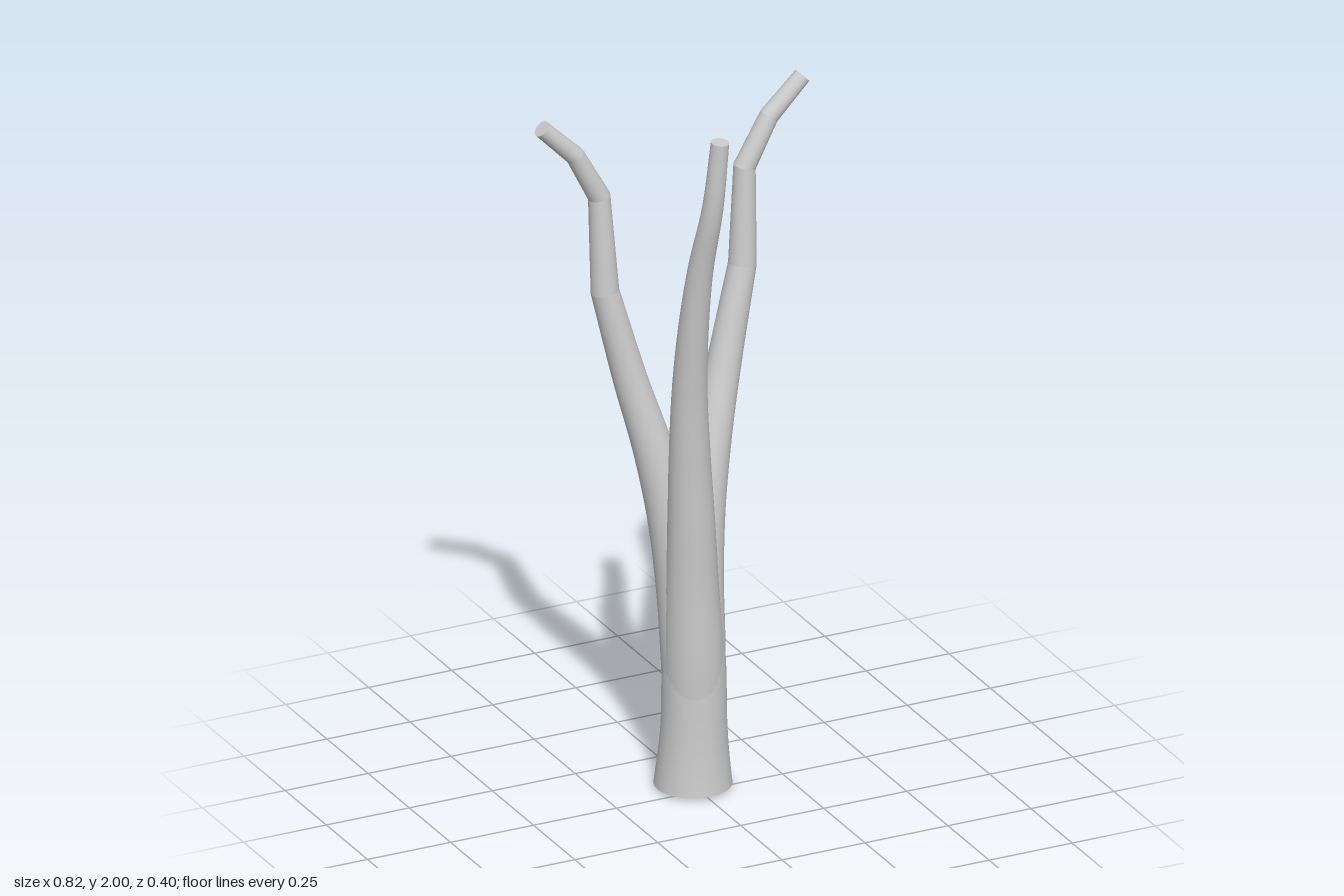
import * as THREE from 'three';

const SIDES = 32;
const material = new THREE.MeshStandardMaterial({ color: 0xcccccc });

// Each section is [x, y, z, radius]. Sections in `curved` are splined, those in `kinked` are straight lengths.
function limb(name, curved, kinked = [], steps = 5) {
  const path = new THREE.CatmullRomCurve3(curved.map(([x, y, z]) => new THREE.Vector3(x, y, z)), false, 'catmullrom');
  const radii = new THREE.CatmullRomCurve3(curved.map((s) => new THREE.Vector3(s[3], 0, 0)), false, 'catmullrom');
  const count = (curved.length - 1) * steps;
  const rings = [];
  for (let i = 0; i <= count; i++) rings.push({ p: path.getPoint(i / count), r: radii.getPoint(i / count).x });
  for (const [x, y, z, r] of kinked) rings.push({ p: new THREE.Vector3(x, y, z), r });

  // Direction across each ring, halving the angle at the kinks
  const dir = (a, b) => rings[b].p.clone().sub(rings[a].p).normalize();
  const last = rings.length - 1;
  rings.forEach((ring, i) => {
    ring.t = i === 0 ? new THREE.Vector3(0, 1, 0) : dir(i - 1, i);
    if (i > 0 && i < last) ring.t.add(dir(i, i + 1)).normalize();
  });

  const pos = [], index = [];
  const addRing = ({ p, r, t }) => {
    const start = pos.length / 3;
    const u = new THREE.Vector3(0, 0, 1).addScaledVector(t, -t.z).normalize();
    const v = t.clone().cross(u);
    for (let k = 0; k < SIDES; k++) {
      const a = (k / SIDES) * Math.PI * 2;
      const q = p.clone().addScaledVector(u, r * Math.cos(a)).addScaledVector(v, r * Math.sin(a));
      pos.push(q.x, q.y, q.z);
    }
    return start;
  };
  let prev = addRing(rings[0]);
  for (let i = 1; i <= last; i++) {
    const next = addRing(rings[i]);
    for (let k = 0; k < SIDES; k++) {
      const n = (k + 1) % SIDES;
      index.push(prev + k, prev + n, next + n, prev + k, next + n, next + k);
    }
    // A doubled ring keeps the crease sharp at a kink
    prev = i >= count && i < last ? addRing(rings[i]) : next;
  }
  // Flat caps on both ends
  for (const [ring, top] of [[rings[0], false], [rings[last], true]]) {
    const start = addRing(ring);
    for (let k = 1; k < SIDES - 1; k++) {
      index.push(start, start + (top ? k : k + 1), start + (top ? k + 1 : k));
    }
  }
  const geometry = new THREE.BufferGeometry();
  geometry.setAttribute('position', new THREE.Float32BufferAttribute(pos, 3));
  geometry.setIndex(index);
  geometry.computeVertexNormals();
  const mesh = new THREE.Mesh(geometry, material);
  mesh.name = name;
  return mesh;
}

export function createModel() {
  const group = new THREE.Group();
  group.name = 'forkedTree';

  // Flared trunk, with a shallow foot disc below its rim
  group.add(limb('trunk', [
    [0, 0.01, -0.04, 0.107], [0, 0.1, -0.037, 0.097], [0, 0.2, -0.034, 0.09],
    [0, 0.4, -0.034, 0.085], [0, 0.6, -0.036, 0.06],
  ]));
  const foot = new THREE.Mesh(new THREE.CylinderGeometry(0.088, 0.085, 0.012, SIDES), material);
  foot.name = 'foot';
  foot.position.set(0, 0.006, -0.04);
  group.add(foot);

  // Front limb, one smooth sweep
  group.add(limb('frontLimb', [
    [0, 0.2, -0.03, 0.08], [-0.006, 0.4, -0.024, 0.082], [-0.015, 0.6, -0.015, 0.073],
    [-0.025, 0.8, 0, 0.065], [-0.037, 1, 0.015, 0.057], [-0.048, 1.2, 0.036, 0.049],
    [-0.053, 1.4, 0.068, 0.042], [-0.05, 1.6, 0.107, 0.035], [-0.038, 1.8, 0.157, 0.029],
    [-0.025, 2, 0.175, 0.025],
  ]));

  // Mirrored rear limbs, curved below and kinked above
  for (const [s, name] of [[1, 'leftLimb'], [-1, 'rightLimb']]) {
    const mirror = (list) => list.map(([x, y, z, r]) => [s * x, y, z, r]);
    group.add(limb(name, mirror([
      [0, 0.2, -0.036, 0.08], [0.008, 0.4, -0.04, 0.081], [0.022, 0.6, -0.06, 0.073],
      [0.048, 0.8, -0.081, 0.064], [0.09, 1, -0.106, 0.055], [0.143, 1.2, -0.135, 0.047],
      [0.207, 1.46, -0.157, 0.039],
    ]), mirror([
      [0.219, 1.74, -0.168, 0.031], [0.292, 1.875, -0.167, 0.027], [0.393, 1.975, -0.167, 0.024],
    ])));
  }
  return group;
}
